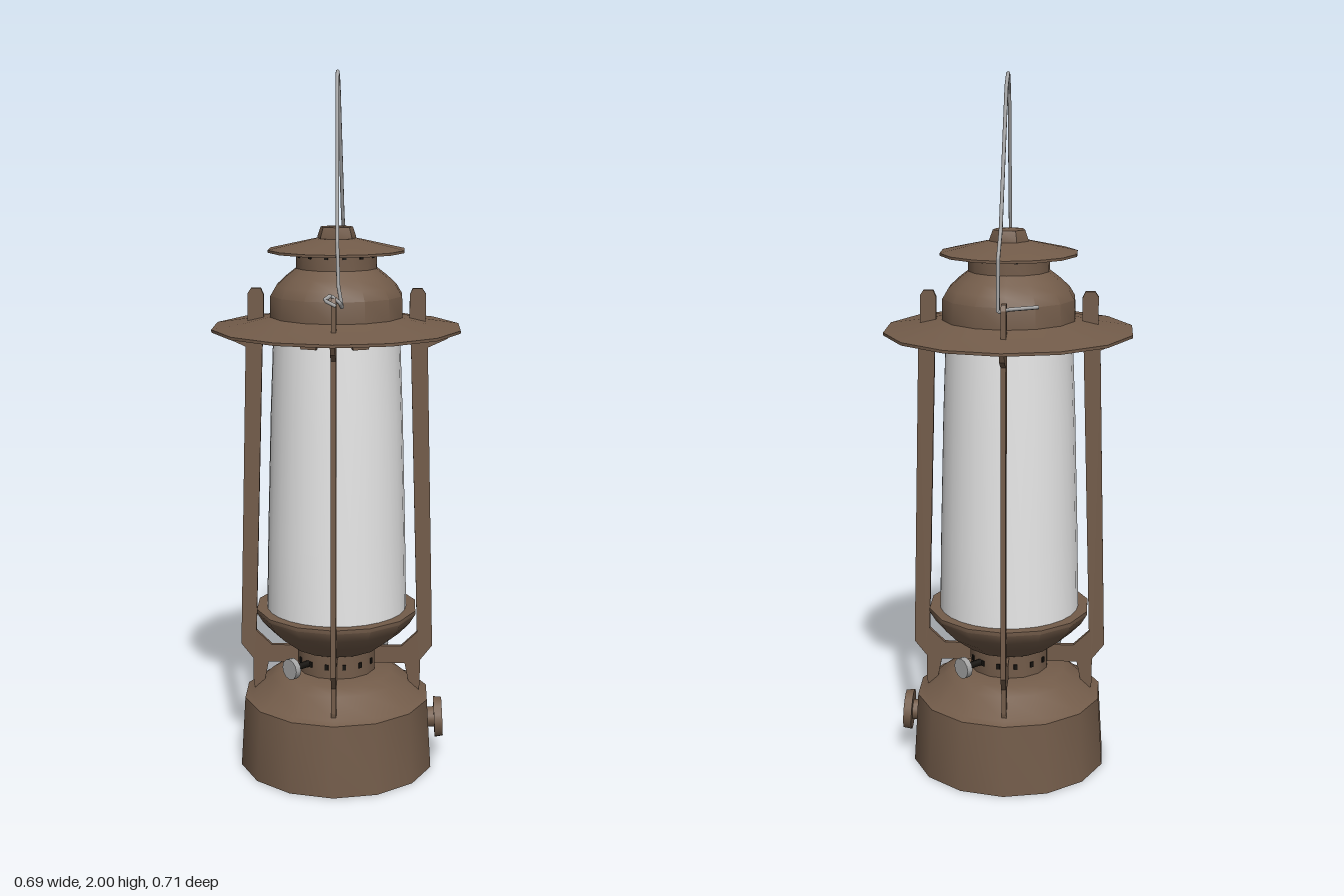
import * as THREE from 'three';
import { toCreasedNormals } from 'three/addons/utils/BufferGeometryUtils.js';

const SIDES = 14;
const v2 = (p) => new THREE.Vector2(p[0], p[1]);
const v3 = (p) => new THREE.Vector3(p[0], p[1], p[2]);

function material(name, color) {
  const m = new THREE.MeshStandardMaterial({ color });
  m.name = name;
  return m;
}

export function createModel() {
  const brown = material('painted brown metal', 0x735c4a);
  const white = material('frosted glass', 0xf0f0f0);
  const steel = material('steel wire', 0xa6a6a6);
  const dark = material('dark openings', 0x16130f);

  const lantern = new THREE.Group();
  lantern.name = 'lantern';

  const add = (name, geometry, mat, parent = lantern) => {
    const mesh = new THREE.Mesh(geometry, mat);
    mesh.name = name;
    parent.add(mesh);
    return mesh;
  };
  const lathe = (name, profile, mat, sides = SIDES) =>
    add(name, toCreasedNormals(new THREE.LatheGeometry(profile.map(v2), sides), 0.55), mat);
  // a group turned about the upright axis, in which +x points outwards
  const spoke = (name, angle) => {
    const g = new THREE.Group();
    g.name = name;
    g.rotation.y = angle;
    lantern.add(g);
    return g;
  };

  // fuel tank with sloping shoulder, burner neck and flared glass holder
  lathe('fuelTank', [[0, 0], [0.285, 0], [0.272, 0.208], [0.25, 0.216], [0.195, 0.265],
    [0.165, 0.283], [0.115, 0.288]], brown);
  lathe('burnerNeck', [[0.115, 0.28], [0.115, 0.36]], brown);
  lathe('glassHolder', [[0.112, 0.358], [0.13, 0.36], [0.185, 0.402], [0.217, 0.435],
    [0.235, 0.465], [0.235, 0.476], [0.19, 0.476]], brown);

  // glass chimney
  lathe('glass', [[0.203, 0.47], [0.198, 0.7], [0.188, 1.05], [0.178, 1.3]], white, 28);

  // wide brim, dome, vent neck, cap and top knob
  lathe('brim', [[0, 1.293], [0.18, 1.293], [0.354, 1.287], [0.354, 1.295],
    [0.26, 1.31], [0.188, 1.326]], brown);
  lathe('dome', [[0.19, 1.32], [0.188, 1.385], [0.172, 1.412], [0.145, 1.437],
    [0.118, 1.458], [0.112, 1.463]], brown);
  lathe('ventNeck', [[0.115, 1.455], [0.115, 1.515]], brown);
  lathe('cap', [[0.1, 1.515], [0.194, 1.505], [0.194, 1.512], [0.06, 1.542], [0, 1.545]], brown);
  lathe('topKnob', [[0.055, 1.535], [0.055, 1.548], [0.046, 1.574], [0, 1.576]], brown, 7);

  // four flat frame struts
  const strutShape = new THREE.Shape([
    [0.205, 1.385], [0.213, 1.403], [0.24, 1.403], [0.25, 1.388], [0.25, 1.302],
    [0.325, 1.286], [0.312, 1.262], [0.257, 1.237], [0.28, 0.355], [0.245, 0.31],
    [0.245, 0.235], [0.238, 0.205], [0.212, 0.24], [0.2, 0.3], [0.11, 0.3],
    [0.11, 0.352], [0.19, 0.352], [0.235, 0.395], [0.21, 1.23], [0.205, 1.29],
  ].map(v2));
  const strutGeometry = new THREE.ExtrudeGeometry(strutShape, { depth: 0.014, bevelEnabled: false });
  strutGeometry.translate(0, 0, -0.007);
  for (let i = 0; i < 4; i++) add('strut', strutGeometry, brown, spoke('strutSide', i * Math.PI / 2));

  // clips that hold the top of the glass
  const clipShape = new THREE.Shape([[-0.036, 1.295], [-0.022, 1.255], [0.022, 1.255], [0.036, 1.295]].map(v2));
  const clipGeometry = new THREE.ExtrudeGeometry(clipShape, { depth: 0.012, bevelEnabled: false });
  clipGeometry.rotateY(Math.PI / 2).translate(0.177, 0, 0);
  for (let i = 0; i < 8; i++) {
    add('glassClip', clipGeometry, brown, spoke('glassClipSide', (i + 0.5) * Math.PI / 4));
  }

  // air holes in the burner neck and under the cap
  for (let i = 0; i < SIDES; i++) {
    const side = spoke('airHoles', (i + 0.5) * 2 * Math.PI / SIDES + Math.PI / 2);
    add('burnerHole', new THREE.BoxGeometry(0.005, 0.016, 0.01), dark, side).position.set(0.113, 0.322, 0);
    add('ventHole', new THREE.BoxGeometry(0.005, 0.01, 0.01), dark, side).position.set(0.113, 1.497, 0);
  }

  // wick adjusters on opposite sides of the burner
  for (const angle of [Math.PI / 4, Math.PI * 5 / 4]) {
    const side = spoke('wickAdjuster', angle);
    const shaft = add('wickShaft', new THREE.CylinderGeometry(0.01, 0.01, 0.07, 8), dark, side);
    shaft.rotation.z = -Math.PI / 2;
    shaft.position.set(0.135, 0.322, 0);
    const knob = add('wickKnob', new THREE.CylinderGeometry(0.03, 0.03, 0.018, 12), steel, side);
    knob.rotation.z = -Math.PI / 2;
    knob.position.set(0.176, 0.322, 0);
  }

  // screw cap of the filler on the left side
  const filler = new THREE.Group();
  filler.name = 'fillerCap';
  filler.position.set(0.3, 0.132, 0);
  filler.rotation.z = -Math.PI / 2 + 0.05;
  add('fillerDisc', new THREE.CylinderGeometry(0.057, 0.06, 0.024, SIDES), brown, filler);
  add('fillerNeck', new THREE.CylinderGeometry(0.03, 0.03, 0.06, SIDES), brown, filler).position.y = -0.03;
  lantern.add(filler);

  // bent wire handle: straight runs between bends, hooked at both ends
  const wirePath = new THREE.CurvePath();
  const bends = [
    [0.008, 1.385, 0.268], [-0.024, 1.4, 0.258], [-0.008, 1.41, 0.235], [0.016, 1.39, 0.232],
    [0.022, 1.375, 0.215], [0.012, 1.43, 0.212], [0.008, 1.55, 0.192], [0.004, 1.94, 0.075],
    [0.003, 1.99, 0.022], [0.003, 1.994, 0.005], [0.004, 1.96, -0.052], [0.012, 1.59, -0.17],
    [0.016, 1.52, -0.212], [0.016, 1.38, -0.226], [-0.015, 1.39, -0.236], [-0.09, 1.39, -0.195],
  ].map(v3);
  for (let i = 1; i < bends.length; i++) wirePath.add(new THREE.LineCurve3(bends[i - 1], bends[i]));
  add('handle', new THREE.TubeGeometry(wirePath, 260, 0.0055, 6), steel);

  return lantern;
}
